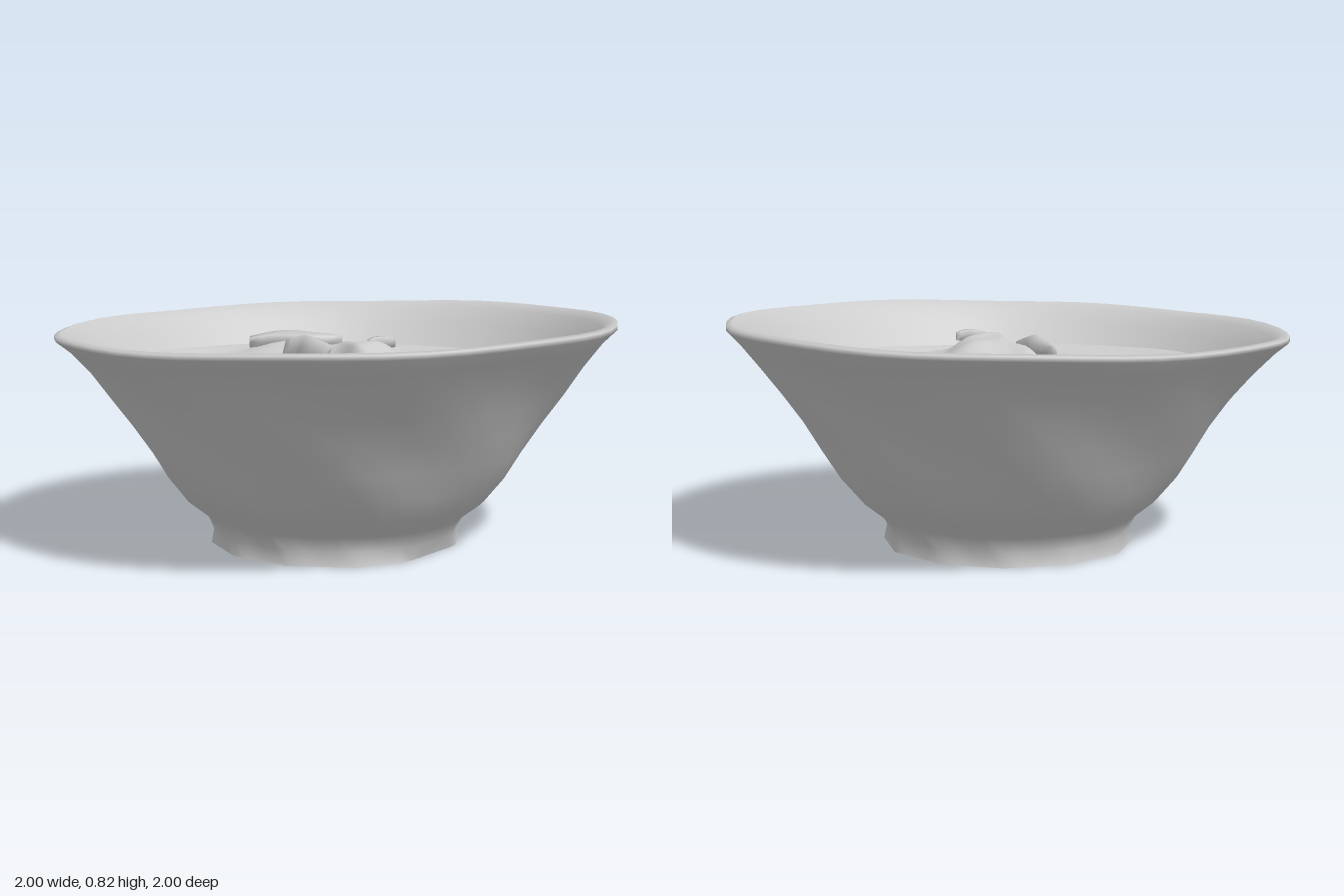
import * as THREE from 'three';
import { mergeVertices } from 'three/addons/utils/BufferGeometryUtils.js';

const material = () => new THREE.MeshStandardMaterial({ color: 0xcccccc, side: THREE.DoubleSide });

function addMesh(group, geometry, name) {
  const mesh = new THREE.Mesh(geometry, material());
  mesh.name = name;
  group.add(mesh);
  return mesh;
}

// Weld a geometry, move every vertex by a rule and rebuild smooth normals.
function reshape(source, rule) {
  source.deleteAttribute('uv');
  source.deleteAttribute('normal');
  const geometry = mergeVertices(source);
  const p = geometry.attributes.position;
  const v = new THREE.Vector3();
  for (let i = 0; i < p.count; i++) {
    v.fromBufferAttribute(p, i);
    rule(v);
    p.setXYZ(i, v.x, v.y, v.z);
  }
  geometry.computeVertexNormals();
  return geometry;
}

// Handmade unevenness: dents in the wall, a tilted rim and a faceted, chipped foot.
function unevenWall(v) {
  const a = Math.atan2(v.z, v.x);
  const h = v.y / 0.79;
  const middle = 4 * h * Math.max(0, 1 - h);
  let k = 1 + middle * (0.008 * Math.sin(3 * a + 1 + 4 * h) + 0.008 * Math.sin(7 * a - 11 * h));
  if (v.y < 0.06) {
    const facet = Math.PI / 6;
    const offset = a - facet * Math.round(a / facet);
    k *= Math.cos(facet / 2) / Math.cos(offset);
  }
  v.x *= k;
  v.z *= k;
  v.y += h ** 3 * (0.018 * v.x - 0.014 * v.z + 0.003 * Math.sin(7 * a));
  if (v.y < 0.02) v.x = Math.min(v.x, 0.415);
}

// Lumps: x, z, height, radius along, radius across, heading, steepness of the near flank
const lumps = [
  [0.06, 0.0, 0.06, 0.36, 0.34, 0, 1],
  [0.10, -0.09, 0.05, 0.09, 0.10, 0, 1],
  [0.21, 0.0, 0.04, 0.06, 0.09, 0, 1],
  [0.22, 0.16, 0.085, 0.22, 0.13, 0.75, 3],
  [0.40, 0.32, 0.04, 0.12, 0.10, 0.8, 2],
  [0.36, -0.06, 0.04, 0.12, 0.06, -0.5, 1],
  [-0.04, 0.04, 0.05, 0.14, 0.07, 0.3, 2],
  [0.33, 0.45, 0.025, 0.05, 0.05, 0, 1],
  [-0.02, 0.53, 0.025, 0.10, 0.06, 0.3, 1],
  [-0.48, -0.36, 0.06, 0.20, 0.13, -0.6, 1],
  [-0.42, -0.28, 0.025, 0.16, 0.06, -0.5, 3],
  [-0.18, -0.48, 0.025, 0.12, 0.07, -0.3, 1],
  [0.08, -0.42, 0.02, 0.14, 0.08, 0, 1],
  [0.42, -0.42, 0.015, 0.14, 0.10, 0.4, 1],
];

function fillingHeight(x, z) {
  const edge = THREE.MathUtils.smoothstep(Math.hypot(x, z), 0.68, 0.84);
  let y = 0.6 + 0.03 * edge + 0.006 * Math.sin(7 * x + 2) * Math.cos(6 * z);
  for (const [cx, cz, height, along, across, heading, steep] of lumps) {
    const c = Math.cos(heading), s = Math.sin(heading);
    const u = ((x - cx) * c + (z - cz) * s) / along;
    let w = ((z - cz) * c - (x - cx) * s) / across;
    if (w > 0) w *= steep;
    y += height * Math.exp(-u * u - w * w);
  }
  return y;
}

// A curled flake lying on the filling, tapered at its ends.
function flake(length, height, width) {
  return reshape(new THREE.BoxGeometry(length, height, width, 8, 2, 1), (v) => {
    const t = (2 * v.x) / length;
    v.z *= 1 - 0.6 * Math.abs(t);
    v.z += 0.15 * width * Math.sin(4 * t);
    if (v.y > 0) v.y *= 1 - 0.5 * t * t;
  });
}

export function createModel() {
  const model = new THREE.Group();
  model.name = 'filledBowl';

  // Outer wall, rounded lip and inner wall
  const wall = [
    [0.455, 0], [0.445, 0.05], [0.465, 0.105], [0.54, 0.165], [0.61, 0.25], [0.675, 0.35],
    [0.74, 0.45], [0.81, 0.55], [0.88, 0.645], [0.95, 0.725], [0.998, 0.768],
    [0.997, 0.784], [0.975, 0.79], [0.94, 0.765], [0.89, 0.71], [0.83, 0.635], [0.77, 0.57],
  ].map(([r, y]) => new THREE.Vector2(r, y));
  addMesh(model, reshape(new THREE.LatheGeometry(wall, 48), unevenWall), 'bowlWall');

  // Flat underside of the foot
  const base = new THREE.CircleGeometry(0.455, 48).rotateX(Math.PI / 2);
  addMesh(model, reshape(base, unevenWall), 'footBase');

  // Lumpy filling, rising softly where it meets the wall
  const filling = new THREE.RingGeometry(0.001, 0.835, 96, 40).rotateX(-Math.PI / 2);
  addMesh(model, reshape(filling, (v) => { v.y = fillingHeight(v.x, v.z); }), 'filling');

  // Flakes: name, x, z, lift, length, height, width, turn, lean
  const flakes = [
    ['longFlake', -0.51, -0.42, 0.005, 0.37, 0.07, 0.06, 0.61, 0.3],
    ['centreFlake', -0.08, 0.065, 0.025, 0.23, 0.09, 0.05, -0.25, -0.3],
    ['tipFlake', 0.2, 0.0, 0, 0.11, 0.04, 0.03, 1.1, 0],
  ];
  for (const [name, x, z, lift, length, height, width, turn, lean] of flakes) {
    const mesh = addMesh(model, flake(length, height, width), name);
    mesh.position.set(x, fillingHeight(x, z) + lift, z);
    mesh.rotation.set(lean, turn, 0, 'YXZ');
  }
  return model;
}
